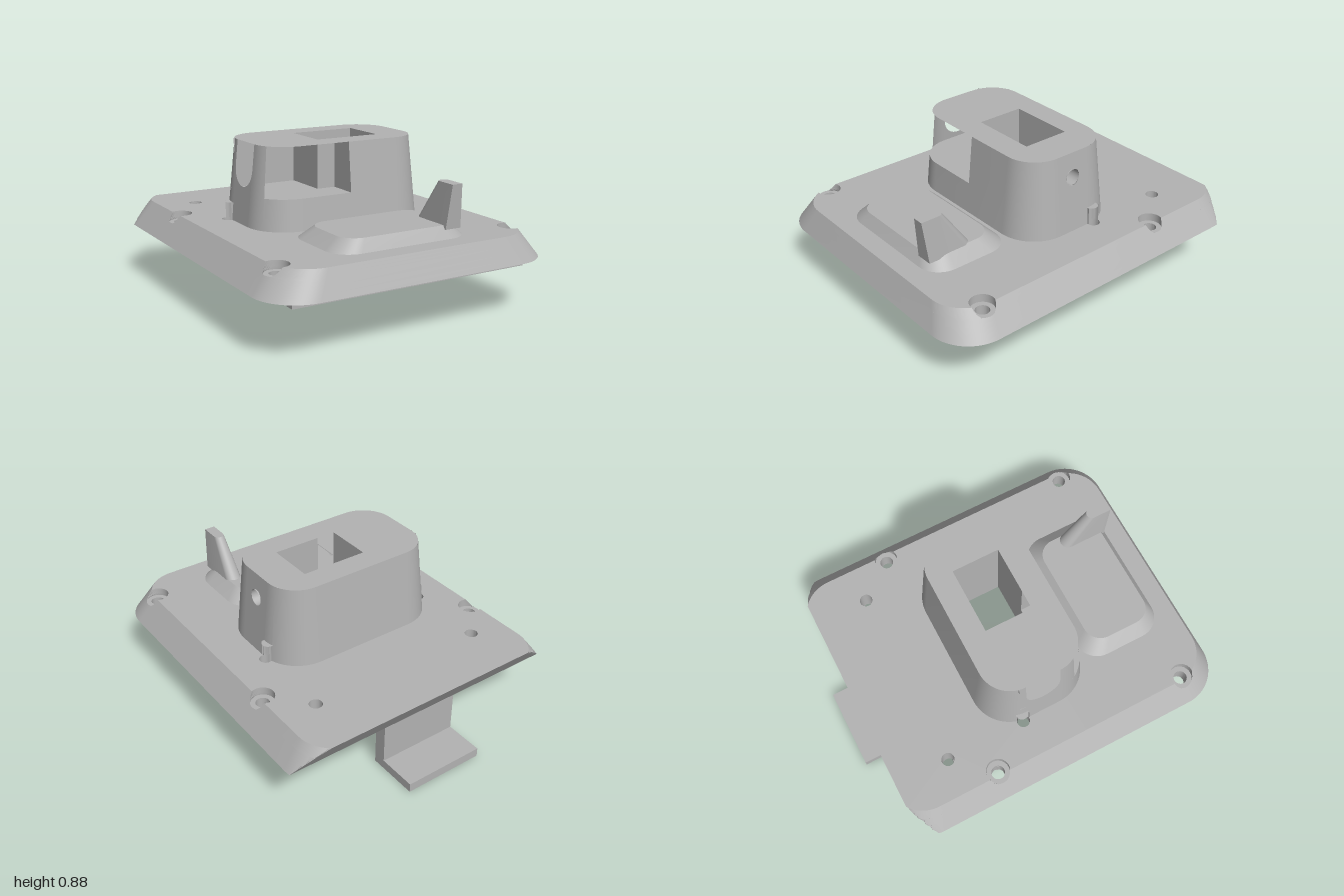
import * as THREE from 'three';
import { mergeGeometries, toCreasedNormals } from 'three/addons/utils/BufferGeometryUtils.js';

const gray = new THREE.MeshStandardMaterial({ color: 0xb3b3b3, side: THREE.DoubleSide });
gray.name = 'plain gray';

const SCREWS = [[0.7, -0.38], [0.7, 0.77], [-0.7, -0.38], [-0.7, 0.77]];
const PINS = [[0.52, -0.59], [-0.52, -0.59], [0.52, -0.13], [-0.52, -0.13]];
const WINDOW = [-0.107, 0.27, -0.14, 0.13];
const SLOTS = [0.2, 0.07, -0.06, -0.19].map((x) => [x - 0.03, x + 0.03, 0.42, 0.68]);
const lerp = THREE.MathUtils.lerp;

// Skin between rows of [x, y, z] points
function grid(rows, closed) {
  const n = rows[0].length, idx = [];
  for (let j = 0; j + 1 < rows.length; j++) {
    for (let i = 0; i < (closed ? n : n - 1); i++) {
      const a = j * n + i, b = j * n + (i + 1) % n;
      idx.push(a, a + n, b, b, a + n, b + n);
    }
  }
  const g = new THREE.BufferGeometry();
  g.setAttribute('position', new THREE.Float32BufferAttribute(rows.flat(2), 3));
  g.setIndex(idx);
  return g;
}
const atHeight = (pts, y) => pts.map(([x, z]) => [x, y, z]);

// Rounded rectangle in x, z
function roundRect(x0, x1, z0, z1, r, n = 10) {
  const pts = [];
  [[x1 - r, z0 + r], [x1 - r, z1 - r], [x0 + r, z1 - r], [x0 + r, z0 + r]].forEach(([cx, cz], k) => {
    for (let i = 0; i <= n; i++) {
      const a = (k - 1 + i / n) * Math.PI / 2;
      pts.push([cx + r * Math.cos(a), cz + r * Math.sin(a)]);
    }
  });
  return pts;
}
const rect = ([x0, x1, z0, z1]) => [[x1, z0], [x1, z1], [x0, z1], [x0, z0]];
const circle = ([x, z], r) => roundRect(x - r, x + r, z - r, z + r, r, 6);

// Horizontal face with holes
function face(pts, y, holes = [], flip = false) {
  const v = (p) => p.map(([x, z]) => new THREE.Vector2(x, -z));
  const s = new THREE.Shape(v(pts));
  holes.forEach((h) => s.holes.push(new THREE.Path(v(h))));
  const g = new THREE.ShapeGeometry(s).rotateX(-Math.PI / 2).translate(0, y, 0);
  if (flip) g.setIndex(Array.from(g.index.array).reverse());
  return g;
}
const tunnel = (pts, y0, y1) => grid([atHeight(pts, y1), atHeight(pts, y0)], true);

function part(parent, name, geos) {
  geos = geos.map((g) => {
    const c = g.index ? g.toNonIndexed() : g;
    c.deleteAttribute('uv');
    c.deleteAttribute('normal');
    c.computeVertexNormals();
    return c;
  });
  const m = new THREE.Mesh(toCreasedNormals(mergeGeometries(geos), 0.5), gray);
  m.name = name;
  parent.add(m);
}
function box(parent, name, x0, x1, y0, y1, z0, z1) {
  part(parent, name, [new THREE.BoxGeometry(x1 - x0, y1 - y0, z1 - z0)
    .translate((x0 + x1) / 2, (y0 + y1) / 2, (z0 + z1) / 2)]);
}

// Half outline of the bevelled plate: back corner, side, front corner
function plateEdge(t, y) {
  const k = (y - 0.3) / 0.14;
  const hx = lerp(0.83, 0.725, k), hz = lerp(1, 0.94, k), r = lerp(0.23, 0.2, k);
  const a = (t < 1 ? t - 1 : Math.max(0, t - 2)) * Math.PI / 2;
  const cz = lerp(r - hz, hz - r, THREE.MathUtils.clamp(t - 1, 0, 1));
  return [hx - r + r * Math.cos(a), Math.max(cz + r * Math.sin(a), lerp(-0.81, -0.9, k))];
}
// Whole outline, with or without the counterbores biting into the edge
function plateLoop(y, bitten) {
  const half = [], R = 0.065;
  const run = (a, b, n) => { for (let i = 0; i <= n; i++) half.push(plateEdge(lerp(a, b, i / n), y)); };
  if (!bitten) run(0, 3, 60);
  else {
    let t0 = 0;
    for (const [cx, cz] of SCREWS.slice(0, 2)) {
      const ts = [];
      for (let t = 0; t <= 3; t += 0.001) {
        const [x, z] = plateEdge(t, y);
        if (Math.hypot(x - cx, z - cz) < R) ts.push(t);
      }
      const [ta, tb] = [ts[0], ts[ts.length - 1]];
      const ang = (t) => { const [x, z] = plateEdge(t, y); return Math.atan2(z - cz, x - cx); };
      const a0 = ang(ta), a1 = ang(tb) - Math.PI * 2;
      run(t0, ta, 24);
      for (let i = 1; i < 20; i++) {
        const a = lerp(a0, a1, i / 20);
        half.push([cx + R * Math.cos(a), cz + R * Math.sin(a)]);
      }
      t0 = tb;
    }
    run(t0, 3, 24);
  }
  return half.concat(half.slice().reverse().map(([x, z]) => [-x, z]));
}

function addPlate(g) {
  const level = (y, b) => atHeight(plateLoop(y, b), y);
  const screwHoles = SCREWS.map((s) => circle(s, 0.037)), pinHoles = PINS.map((p) => circle(p, 0.036));
  const recess = roundRect(-0.69, 0.69, -0.46, 0.84, 0.18);
  part(g, 'basePlate', [
    grid([0.3, 0.33, 0.36, 0.395].map((y) => level(y, false)), true),
    grid([0.395, 0.41, 0.425, 0.44].map((y) => level(y, true)), true),
    face(plateLoop(0.44, true), 0.44, [rect(WINDOW), ...pinHoles]),
    face(plateLoop(0.3, false), 0.3, [recess, ...screwHoles, ...pinHoles.slice(0, 2)], true),
    face(recess, 0.37, [rect(WINDOW), ...pinHoles.slice(2), ...SLOTS.map(rect)], true),
    tunnel(recess, 0.3, 0.37),
    ...SCREWS.map((s) => face(circle(s, 0.0635), 0.395, [circle(s, 0.037)])),
    ...screwHoles.map((h) => tunnel(h, 0.3, 0.395)),
    ...pinHoles.map((h, i) => tunnel(h, i < 2 ? 0.3 : 0.37, 0.44)),
    ...SLOTS.map((s) => tunnel(rect(s), 0.37, 0.44)),
  ]);
  // Locating lip underneath
  for (const s of [-1, 1]) box(g, 'sideLip', s * 0.7275 - 0.0375, s * 0.7275 + 0.0375, 0.255, 0.3, -0.29, 0.69);
  box(g, 'frontLip', -0.6, 0.6, 0.255, 0.295, 0.845, 0.9);
  box(g, 'backLip', -0.6, 0.6, 0.255, 0.295, -0.56, -0.46);
  for (const s of [-1, 1]) for (const [z0, z1] of [[0.845, 0.9], [-0.56, -0.46]]) {
    box(g, 'cornerLip', s * 0.645 - 0.045, s * 0.645 + 0.045, 0.255, 0.3, z0, z1);
  }
}

function addTower(g) {
  const P = Math.PI, X = 0.295, Z = 0.1, Y0 = 0.44, Y1 = 0.88;
  const radius = (y) => lerp(0.22, 0.175, (y - Y0) / (Y1 - Y0));
  // A stretch of tapered wall: centre path, normal angles, bottom and top heights by z
  const wall = (x0, z0, x1, z1, a0, a1, n, lo = () => Y0, hi = () => Y1) => {
    const rows = [[], []];
    for (let i = 0; i <= n; i++) {
      const k = i / n, x = lerp(x0, x1, k), z = lerp(z0, z1, k), a = lerp(a0, a1, k);
      [lo(z), hi(z)].forEach((y, j) => rows[j].push([x + radius(y) * Math.cos(a), y, z + radius(y) * Math.sin(a)]));
    }
    return grid(rows, false);
  };
  const bore = (z) => Math.sqrt(Math.max(0, 0.045 ** 2 - z * z));
  const notch = (z) => 0.74 - Math.sqrt(Math.max(0, 0.01 - z * z));
  const ledge = () => 0.61, slotTop = () => 0.535, q = 0.29;
  part(g, 'towerWall', [
    wall(X, -Z, X, Z, 0, 0, 40, undefined, (z) => 0.745 - bore(z)),
    wall(X, -Z, X, Z, 0, 0, 40, (z) => 0.745 + bore(z)),
    wall(X, Z, X, Z, 0, P / 2, 14),
    wall(X, Z, 0, Z, P / 2, P / 2, 1),
    wall(0, Z, -X, Z, P / 2, P / 2, 1, undefined, ledge),
    wall(-X, Z, -X, Z, P / 2, P * 0.83, 10, undefined, ledge),
    wall(-X, Z, -X, Z, P * 0.83, P, 5),
    wall(-X, Z, -X, -Z, P, P, 40, undefined, notch),
    wall(-X, -Z, -X, -Z, P, P + q, 4, slotTop),
    wall(-X, -Z, -X, -Z, P + q, P * 1.5, 12),
    wall(-X, -Z, X, -Z, -P / 2, -P / 2, 1),
    wall(X, -Z, X, -Z, -P / 2, -q, 12),
    wall(X, -Z, X, -Z, -q, 0, 4, slotTop),
  ]);
  part(g, 'towerTop', [face(roundRect(-0.47, 0.47, -0.275, 0.275, 0.175, 14), Y1, [rect(WINDOW)])]);
  part(g, 'sideBore', [new THREE.CylinderGeometry(0.045, 0.045, 0.215, 24, 1, true).rotateZ(P / 2).translate(0.378, 0.745, 0)]);
  // Window shaft, open to the front pocket on its left half
  const [a, b, c, d] = WINDOW;
  const panel = (x0, z0, x1, z1, y0, y1) => grid([[[x0, y0, z0], [x1, y0, z1]], [[x0, y1, z0], [x1, y1, z1]]], false);
  part(g, 'windowShaft', [
    panel(a, d, a, c, 0.37, Y1), panel(a, c, b, c, 0.37, Y1), panel(b, c, b, d, 0.37, Y1),
    panel(b, d, 0, d, 0.37, Y1), panel(0, d, a, d, 0.37, 0.61),
  ]);
  // Front pocket
  const r = radius(0.61), floor = [[0, d], [0, Z + r]];
  for (let i = 0; i <= 14; i++) {
    const t = P / 2 * (1 + i / 14);
    floor.push([-X + r * Math.cos(t), Z + r * Math.sin(t)]);
  }
  floor.push([-X - r, c], [a, c], [a, d]);
  part(g, 'pocket', [
    face(floor, 0.61), panel(-0.475, c, a, c, 0.61, Y1),
    grid([[[0, 0.61, d], [0, 0.61, Z + r]], [[0, Y1, d], [0, Y1, 0.275]]], false),
  ]);
  // Pin clearance grooves in the tower sides
  for (const s of [-1, 1]) {
    part(g, 'pinGroove', [
      new THREE.CylinderGeometry(0.036, 0.036, 0.095, 16, 1, true, s > 0 ? P : 0, P).translate(s * 0.52, 0.4875, -0.13),
      face(circle([s * 0.5, -0.13], 0.036), 0.535, [], true),
    ]);
  }
}

function addPad(g) {
  const base = roundRect(-0.4, 0.4, 0.34, 0.83, 0.13), top = roundRect(-0.33, 0.33, 0.41, 0.79, 0.1);
  part(g, 'raisedPad', [grid([atHeight(base, 0.44), atHeight(top, 0.505)], true), face(top, 0.505)]);
  // Leaning fin with a rounded back
  const section = (w, z0, z1) => {
    const pts = [];
    for (let i = 0; i <= 12; i++) {
      const t = Math.PI * (1 + i / 12);
      pts.push([0.29 + w * Math.cos(t), z0 + w + w * Math.sin(t)]);
    }
    return pts.concat([[0.29 + w, z1], [0.29 - w, z1]]);
  };
  const low = section(0.047, 0.535, 0.81), high = section(0.03, 0.7, 0.835);
  part(g, 'fin', [grid([atHeight(low, 0.485), atHeight(high, 0.72)], true), face(high, 0.72), face(low, 0.485, [], true)]);
}

export function createModel() {
  const g = new THREE.Group();
  g.name = 'mountingCover';
  addPlate(g);
  addTower(g);
  addPad(g);
  // Rear hook
  box(g, 'hookUpright', -0.23, 0.23, 0.05, 0.3, -0.785, -0.715);
  box(g, 'hookFoot', -0.23, 0.23, 0, 0.05, -1, -0.715);
  return g;
}
